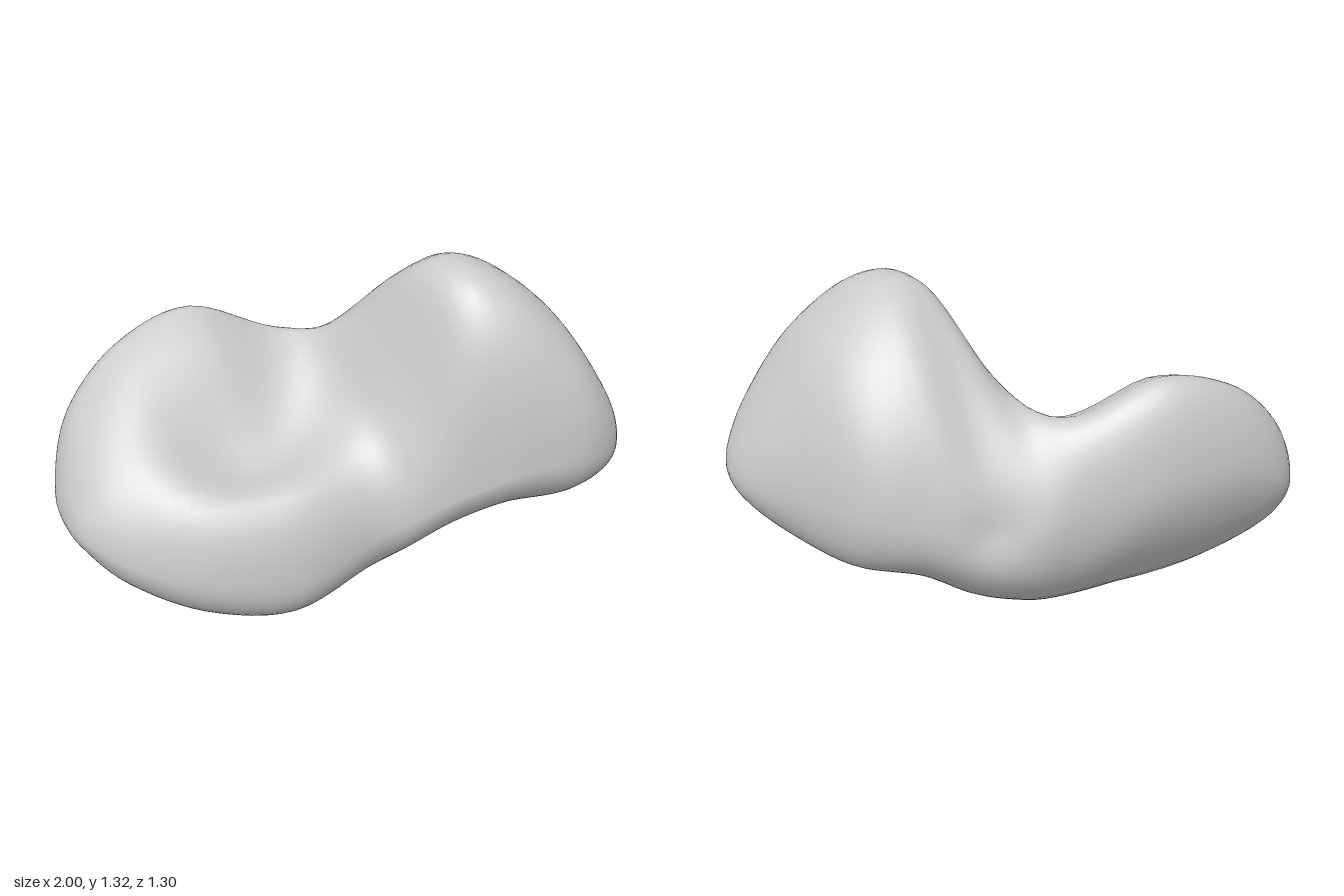
import * as THREE from 'three';
import { mergeVertices } from 'three/addons/utils/BufferGeometryUtils.js';

// Cross-sections along x, each given by its four extreme points:
// x, top y,z, front z,y, bottom y,z, back z,y,
// then the roundness of the top-front, front-bottom and back-top quarters
// (below 1 = boxy, 1 = elliptical, 2 = straight)
const SECTIONS = [
  endPoint(-1, 0.42, -0.22),
  [-0.97, 0.54, -0.28, -0.09, 0.40, 0.34, -0.22, -0.41, 0.44, 1.0, 1.0, 1.0],
  [-0.85, 0.76, -0.43, 0.06, 0.34, 0.19, -0.18, -0.59, 0.54, 1.05, 0.95, 1.0],
  [-0.62, 0.96, -0.49, 0.23, 0.29, 0.055, -0.10, -0.65, 0.65, 1.0, 0.88, 1.0],
  [-0.32, 1.05, -0.48, 0.335, 0.27, 0.0, -0.03, -0.64, 0.66, 1.0, 0.8, 0.95],
  [0.0, 0.93, -0.37, 0.35, 0.35, 0.05, -0.02, -0.56, 0.57, 1.0, 1.0, 1.0],
  [0.15, 1.02, -0.10, 0.42, 0.43, 0.09, 0.0, -0.53, 0.52, 1.0, 1.15, 1.2],
  [0.30, 1.285, 0.12, 0.50, 0.52, 0.15, 0.0, -0.47, 0.50, 0.78, 1.25, 1.4],
  [0.48, 1.305, 0.18, 0.59, 0.60, 0.26, 0.0, -0.38, 0.54, 0.78, 1.08, 1.15],
  [0.70, 1.145, 0.22, 0.65, 0.63, 0.31, 0.06, -0.25, 0.60, 0.88, 0.88, 1.05],
  [0.87, 0.89, 0.31, 0.61, 0.60, 0.39, 0.28, 0.03, 0.60, 0.95, 0.95, 1.0],
  [0.97, 0.69, 0.37, 0.50, 0.57, 0.49, 0.37, 0.23, 0.58, 1.0, 1.0, 1.0],
  endPoint(1, 0.58, 0.37),
];

// Section shrunk to a point
function endPoint(x, y, z) {
  return [x, y, z, z, y, y, z, z, y, 1, 1, 1];
}

// Dents: centre, push vector, squared radius
const DENTS = [
  { at: [-0.43, 0.84, -0.07], push: [0, -0.18, -0.01], r2: 0.085 }, // bowl, outer half
  { at: [-0.22, 0.85, -0.06], push: [0, -0.18, -0.01], r2: 0.085 }, // bowl, inner half
  { at: [0.32, 0.54, -0.48], push: [-0.01, 0, 0.03], r2: 0.01 }, // pit behind the neck
];

// Point on a section, turning from top to front, bottom and back
function sectionPoint(s, angle) {
  const [x, ty, tz, fz, fy, by, bz, kz, ky, pTop, pLow, pBack] = s;
  const quarter = Math.floor(angle / (Math.PI / 2)) % 4;
  const c = Math.abs(Math.cos(angle)), n = Math.abs(Math.sin(angle));
  const blend = (y0, z0, y1, z1, p) => new THREE.Vector3(
    x, y1 + (y0 - y1) * c ** p, z0 + (z1 - z0) * n ** p);
  if (quarter === 0) return blend(ty, tz, fy, fz, pTop);
  if (quarter === 1) return blend(by, bz, fy, fz, pLow);
  // the underside at the back is fuller from the neck onwards
  const fullness = 1.2 - 0.28 * THREE.MathUtils.smoothstep(x, -0.35, 0.1);
  if (quarter === 2) return blend(by, bz, ky, kz, fullness);
  return blend(ty, tz, ky, kz, pBack);
}

function applyDents(p) {
  const start = p.clone();
  for (const { at, push, r2 } of DENTS) {
    const d2 = start.distanceToSquared(new THREE.Vector3(...at));
    p.addScaledVector(new THREE.Vector3(...push), Math.exp(-d2 / r2));
  }
  return p;
}

// Smooth skin over the sections
function loftBody(steps, around) {
  const width = SECTIONS[0].length;
  const spline = new THREE.CubicInterpolant(
    SECTIONS.map((_, i) => i), SECTIONS.flat(), width, new Float32Array(width));
  const positions = [], index = [];
  for (let i = 0; i <= steps; i++) {
    const s = Array.from(spline.evaluate((i / steps) * (SECTIONS.length - 1)));
    for (let j = 0; j < around; j++) {
      const p = applyDents(sectionPoint(s, (j / around) * Math.PI * 2 + 1e-6));
      positions.push(p.x, p.y, p.z);
      if (i === steps) continue;
      const k = (j + 1) % around;
      const a = i * around + j, b = a + around, d = i * around + k, e = d + around;
      index.push(a, d, b, b, d, e);
    }
  }
  let geometry = new THREE.BufferGeometry();
  geometry.setAttribute('position', new THREE.Float32BufferAttribute(positions, 3));
  geometry.setIndex(index);
  geometry = mergeVertices(geometry, 1e-4); // closes both end points
  geometry.computeVertexNormals();
  return geometry;
}

export function createModel() {
  const group = new THREE.Group();
  group.name = 'twoLobedRock';
  const body = new THREE.Mesh(
    loftBody(72, 64),
    new THREE.MeshStandardMaterial({ color: 0xcccccc }));
  body.name = 'rockBody';
  group.add(body);
  return group;
}
